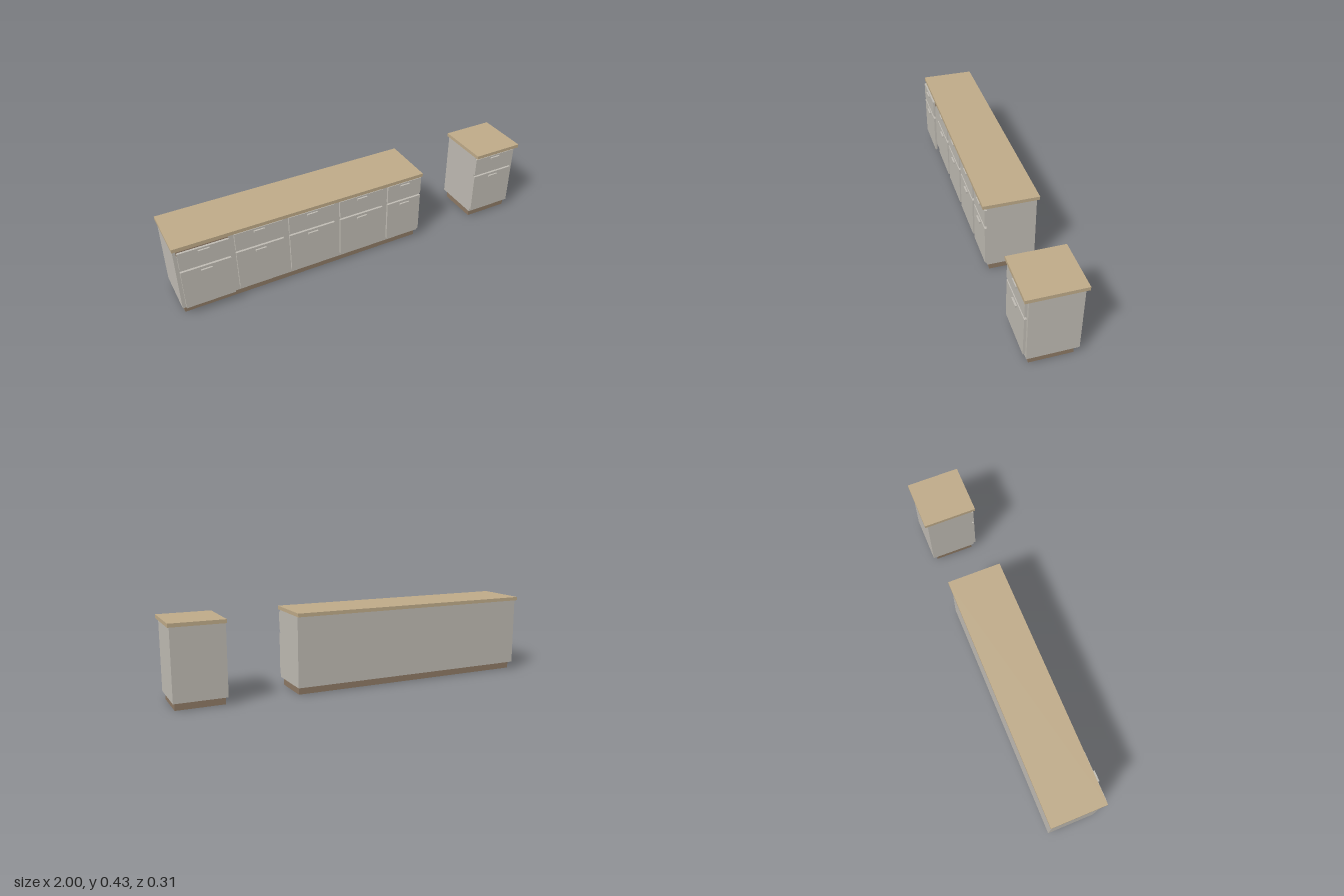
import * as THREE from 'three';

export function createModel() {
  const model = new THREE.Group();
  model.name = 'kitchenCounters';

  const paint = (name, color) => {
    const m = new THREE.MeshStandardMaterial({ color });
    m.name = name;
    return m;
  };
  const grey = paint('warm grey cabinet', 0xbfbbb3);
  const wood = paint('light wood worktop', 0xbfab89);
  const brown = paint('brown plinth', 0x8d7964);

  // Box given by its lower and upper limits on each axis
  const box = (parent, name, material, [x0, x1], [y0, y1], [z0, z1]) => {
    const mesh = new THREE.Mesh(new THREE.BoxGeometry(x1 - x0, y1 - y0, z1 - z0), material);
    mesh.position.set((x0 + x1) / 2, (y0 + y1) / 2, (z0 + z1) / 2);
    mesh.name = name;
    parent.add(mesh);
  };

  // Front panel with a small bar handle near its top edge
  const front = (parent, name, xs, ys, handleY, z) => {
    const mid = (xs[0] + xs[1]) / 2;
    box(parent, name, grey, xs, ys, [z, z + 0.012]);
    box(parent, name + 'Handle', grey, [mid - 0.028, mid + 0.028],
      [handleY, handleY + 0.011], [z + 0.012, z + 0.021]);
  };

  // Plinth, carcass, worktop and a row of drawer-over-door fronts
  const run = (name, { top, body, plinth, bays }) => {
    const group = new THREE.Group();
    group.name = name;
    box(group, 'plinth', brown, plinth, [0, 0.04], [-0.115, 0.103]);
    box(group, 'carcass', grey, body, [0.04, 0.408], [-0.138, 0.117]);
    box(group, 'worktop', wood, top, [0.408, 0.427], [-0.153, 0.139]);
    for (const { xs, z = 0.117 } of bays) {
      front(group, 'drawer', xs, [0.299, 0.397], 0.377, z);
      front(group, 'door', xs, [0.059, 0.284], 0.259, z);
    }
    model.add(group);
    return group;
  };

  // Long run: the first bay stands forward, the last one is narrower
  const bays = [];
  for (let i = 0; i < 5; i++) {
    const x = -0.979 + i * 0.2835;
    bays.push({ xs: [x, i === 4 ? 0.358 : x + 0.252], z: i === 0 ? 0.134 : 0.117 });
  }
  const longRun = run('longCounter', {
    top: [-1, 0.36], body: [-0.994, 0.358], plinth: [-0.983, 0.348], bays,
  });
  // Rail behind the forward drawer
  box(longRun, 'drawerRail', brown, [-0.979, -0.727], [0.37, 0.4], [0.117, 0.132]);

  run('endCounter', {
    top: [0.72, 1], body: [0.722, 0.99], plinth: [0.73, 0.979],
    bays: [{ xs: [0.722, 0.974] }],
  });
  return model;
}
